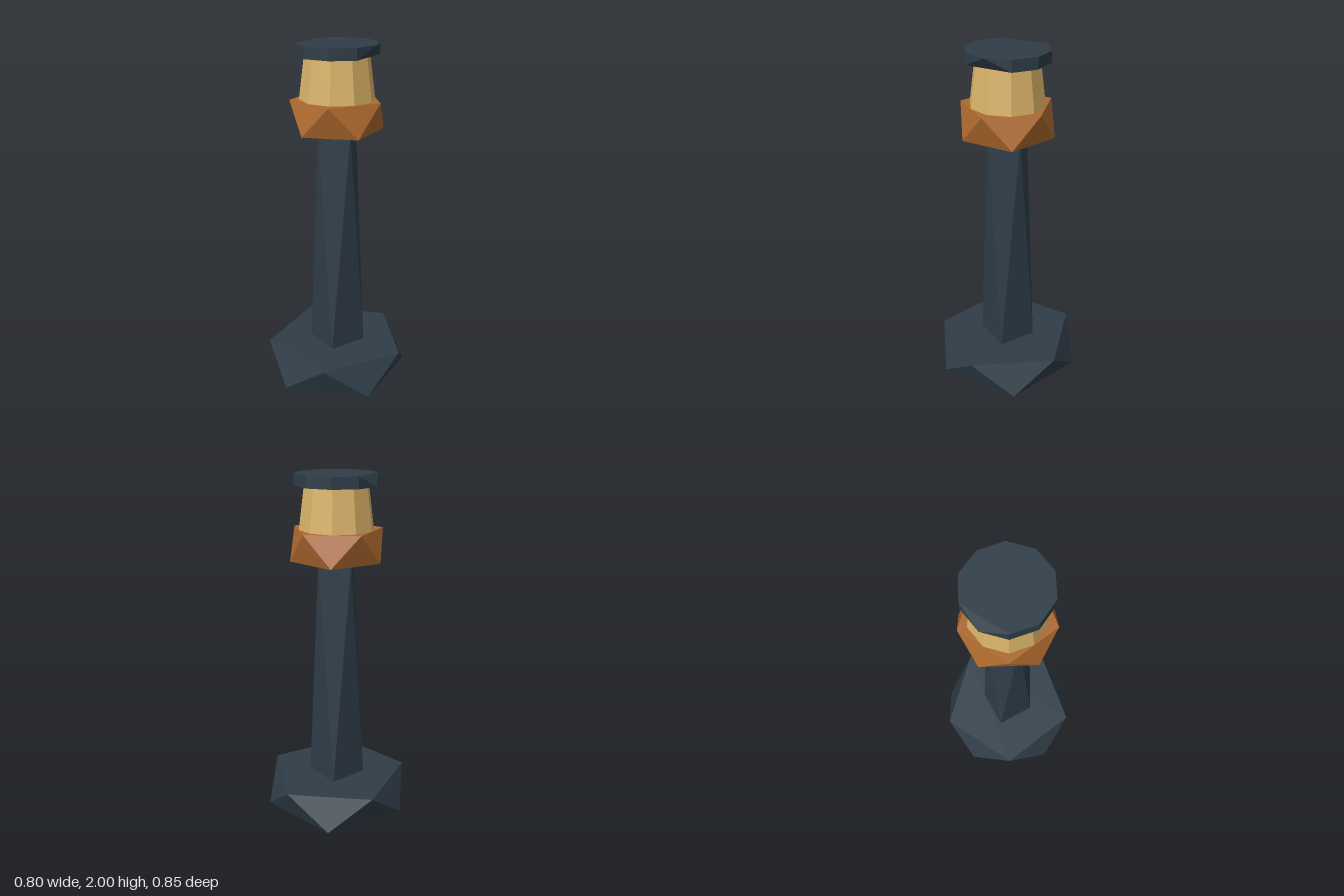
import * as THREE from 'three';
import { ConvexGeometry } from 'three/addons/geometries/ConvexGeometry.js';

// Corners of a regular polygon at height y; start is measured from +z towards +x, in degrees
function ring(sides, radius, y, start = 0, skip = -1) {
  const points = [];
  for (let i = 0; i < sides; i++) {
    if (i === skip) continue;
    const a = THREE.MathUtils.degToRad(start + (360 * i) / sides);
    points.push(new THREE.Vector3(radius * Math.sin(a), y, radius * Math.cos(a)));
  }
  return points;
}

export function createModel() {
  const group = new THREE.Group();
  group.name = 'lighthouse';

  const slate = new THREE.MeshStandardMaterial({ color: 0x2f3d48 });
  const copper = new THREE.MeshStandardMaterial({ color: 0xad692e });
  const lampYellow = new THREE.MeshStandardMaterial({ color: 0xd9b268 });
  slate.name = 'slate';
  copper.name = 'copper';
  lampYellow.name = 'lampYellow';

  // Faceted solid between a lower and an upper polygon
  function addSolid(name, material, lower, upper) {
    const mesh = new THREE.Mesh(new ConvexGeometry([...lower, ...upper]), material);
    mesh.name = name;
    group.add(mesh);
  }

  // Twisted five-sided foot
  addSolid('base', slate, ring(5, 0.423, 0, 36), ring(5, 0.423, 0.19));
  // Tapering four-sided tower, top turned by half a side
  addSolid('tower', slate, ring(4, 0.165, 0.19), ring(4, 0.13, 1.52, 45));
  // Twisted five-sided gallery
  addSolid('gallery', copper, ring(5, 0.266, 1.52, 36), ring(5, 0.266, 1.695));
  // Ten-sided lamp room
  addSolid('lampRoom', lampYellow, ring(10, 0.213, 1.695), ring(10, 0.182, 1.935));
  // Ten-sided roof with one chipped corner below and one above
  addSolid('roof', slate, ring(10, 0.237, 1.935, 0, 2), ring(10, 0.237, 2, 0, 7));

  return group;
}
